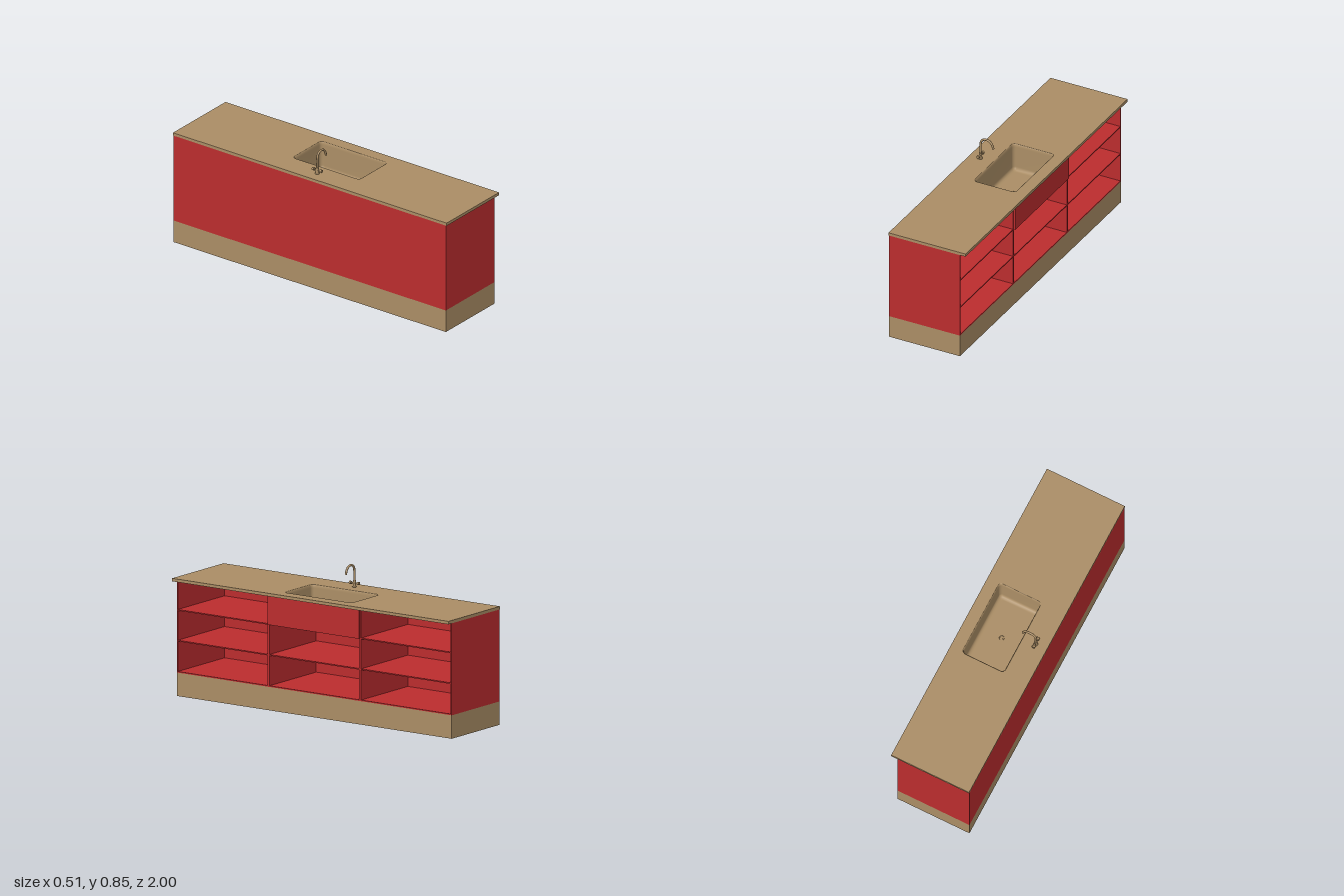
import * as THREE from 'three';

const red = new THREE.MeshStandardMaterial({ color: 0xbb2c2e, side: THREE.DoubleSide });
red.name = 'red lacquer';
const tan = new THREE.MeshStandardMaterial({ color: 0xaa8d65, side: THREE.DoubleSide });
tan.name = 'tan';

const BACK = -0.256, FRONT = 0.215, END = 0.995;
const BASE = 0.14, TOP = 0.692, COUNTER = 0.71, T = 0.007;
const SINK = { x: 0.04, w: 0.28, d: 0.49, r: 0.022 };

function add(parent, name, geometry, material, x = 0, y = 0, z = 0) {
  const mesh = new THREE.Mesh(geometry, material);
  mesh.name = name;
  mesh.position.set(x, y, z);
  parent.add(mesh);
  return mesh;
}

// Box given by its minimum and maximum on each axis
function slab(parent, name, material, x0, x1, y0, y1, z0, z1) {
  return add(parent, name, new THREE.BoxGeometry(x1 - x0, y1 - y0, z1 - z0), material,
    (x0 + x1) / 2, (y0 + y1) / 2, (z0 + z1) / 2);
}

// Counter-clockwise rounded rectangle, inset from the sink opening
function sinkOutline(inset) {
  const r = SINK.r - inset * 0.3;
  const hw = SINK.w / 2 - inset - r, hd = SINK.d / 2 - inset - r;
  const pts = [];
  [[1, 1], [-1, 1], [-1, -1], [1, -1]].forEach(([sx, sy], q) => {
    for (let i = 0; i <= 6; i++) {
      const a = (q + i / 6) * Math.PI / 2;
      pts.push(new THREE.Vector2(SINK.x + sx * hw + r * Math.cos(a), sy * hd + r * Math.sin(a)));
    }
  });
  return pts;
}

// Basin skin lofted through rounded outlines from the rim to the floor
function basinGeometry() {
  const profile = [[0, COUNTER], [0.002, 0.709], [0.005, 0.703], [0.006, 0.69], [0.008, 0.56],
    [0.011, 0.548], [0.018, 0.541], [0.028, 0.538], [0.034, 0.538]];
  const pos = [], index = [];
  const n = sinkOutline(0).length;
  for (const [inset, y] of profile) {
    for (const p of sinkOutline(inset)) pos.push(p.x, y, -p.y);
  }
  const last = (profile.length - 1) * n, centre = profile.length * n;
  pos.push(SINK.x, 0.538, 0);
  for (let i = 0; i < n; i++) {
    const j = (i + 1) % n;
    for (let k = 0; k < last; k += n) {
      index.push(k + i, k + j, k + n + j, k + i, k + n + j, k + n + i);
    }
    index.push(centre, last + i, last + j);
  }
  const g = new THREE.BufferGeometry();
  g.setAttribute('position', new THREE.Float32BufferAttribute(pos, 3));
  g.setIndex(index);
  g.computeVertexNormals();
  return g;
}

function buildPlinth() {
  const plinth = new THREE.Group();
  plinth.name = 'plinth';
  const t = 0.003;
  slab(plinth, 'plinthFront', tan, FRONT - t, FRONT, 0, BASE, -END, END);
  slab(plinth, 'plinthBack', tan, BACK, BACK + t, 0, BASE, -END, END);
  for (const s of [-1, 1]) {
    const z = s * (END - t / 2);
    slab(plinth, 'plinthEnd', tan, BACK + t, FRONT - t, 0, BASE, z - t / 2, z + t / 2);
  }
  return plinth;
}

// One open cabinet with two shelves; the sink bay has no top panel
function buildCabinet(zMid, isSinkBay) {
  const cabinet = new THREE.Group();
  cabinet.name = isSinkBay ? 'sinkCabinet' : 'sideCabinet';
  const h = END / 3, z0 = zMid - h, z1 = zMid + h;
  slab(cabinet, 'cabinetSide', red, BACK, FRONT, BASE, TOP, z0, z0 + T);
  slab(cabinet, 'cabinetSide', red, BACK, FRONT, BASE, TOP, z1 - T, z1);
  slab(cabinet, 'cabinetBack', red, BACK, BACK + T, BASE, TOP, z0 + T, z1 - T);
  const levels = [BASE, 0.327, 0.511];
  if (!isSinkBay) levels.push(TOP - T);
  for (const y of levels) {
    slab(cabinet, 'shelf', red, BACK + T, FRONT, y, y + T, z0 + T, z1 - T);
  }
  if (isSinkBay) slab(cabinet, 'sinkFascia', red, FRONT, 0.226, 0.514, TOP, z0, z1);
  return cabinet;
}

function buildCounter() {
  const counter = new THREE.Group();
  counter.name = 'counter';
  const shape = new THREE.Shape([[-0.256, -1], [0.255, -1], [0.255, 1], [-0.256, 1]]
    .map(([x, y]) => new THREE.Vector2(x, y)));
  shape.holes.push(new THREE.Path(sinkOutline(0).reverse()));
  const top = new THREE.ExtrudeGeometry(shape, { depth: COUNTER - TOP, bevelEnabled: false });
  top.rotateX(-Math.PI / 2);
  add(counter, 'worktop', top, tan, 0, TOP, 0);
  add(counter, 'sinkBasin', basinGeometry(), tan);

  // Drain: a low ring around a shallow plug
  const ring = add(counter, 'drainRing', new THREE.TorusGeometry(0.014, 0.002, 8, 24), tan, SINK.x, 0.5385, 0);
  ring.rotation.x = Math.PI / 2;
  add(counter, 'drainPlug', new THREE.CylinderGeometry(0.009, 0.009, 0.002, 20), tan, SINK.x, 0.539, 0);
  return counter;
}

function buildTap() {
  const tap = new THREE.Group();
  tap.name = 'tap';
  tap.position.set(-0.183, COUNTER, 0);
  const body = [[0, 0], [0.013, 0], [0.013, 0.003], [0.0095, 0.006], [0.0095, 0.038], [0.0075, 0.041], [0, 0.041]]
    .map(([x, y]) => new THREE.Vector2(x, y));
  add(tap, 'tapBody', new THREE.LatheGeometry(body, 24), tan);

  // Swan neck: straight riser, half arch, then a flared drop to the nozzle
  const path = new THREE.CatmullRomCurve3([[0, 0.035], [0, 0.06], [0, 0.092], [0.004, 0.115], [0.017, 0.131],
    [0.038, 0.137], [0.06, 0.131], [0.074, 0.117], [0.081, 0.102], [0.085, 0.088]]
    .map(([x, y]) => new THREE.Vector3(x, y, 0)));
  add(tap, 'spout', new THREE.TubeGeometry(path, 48, 0.0066, 16), tan);
  const tip = add(tap, 'nozzle', new THREE.CylinderGeometry(0.0066, 0.0066, 0.002, 16), tan, 0.085, 0.0885, 0);
  tip.rotation.z = 0.28;

  // Cross bar with a turning knob on each side
  const bar = add(tap, 'valveBar', new THREE.CylinderGeometry(0.005, 0.005, 0.06, 16), tan, 0, 0.024, 0);
  bar.rotation.x = Math.PI / 2;
  for (const s of [-1, 1]) {
    const knob = add(tap, 'valveKnob', new THREE.CylinderGeometry(0.0095, 0.0095, 0.013, 20), tan, 0, 0.024, s * 0.028);
    knob.rotation.x = Math.PI / 2;
  }
  return tap;
}

export function createModel() {
  const model = new THREE.Group();
  model.name = 'kitchenIsland';
  model.add(buildPlinth(), buildCounter(), buildTap());
  for (const i of [-1, 0, 1]) model.add(buildCabinet(i * END * 2 / 3, i === 0));
  return model;
}
